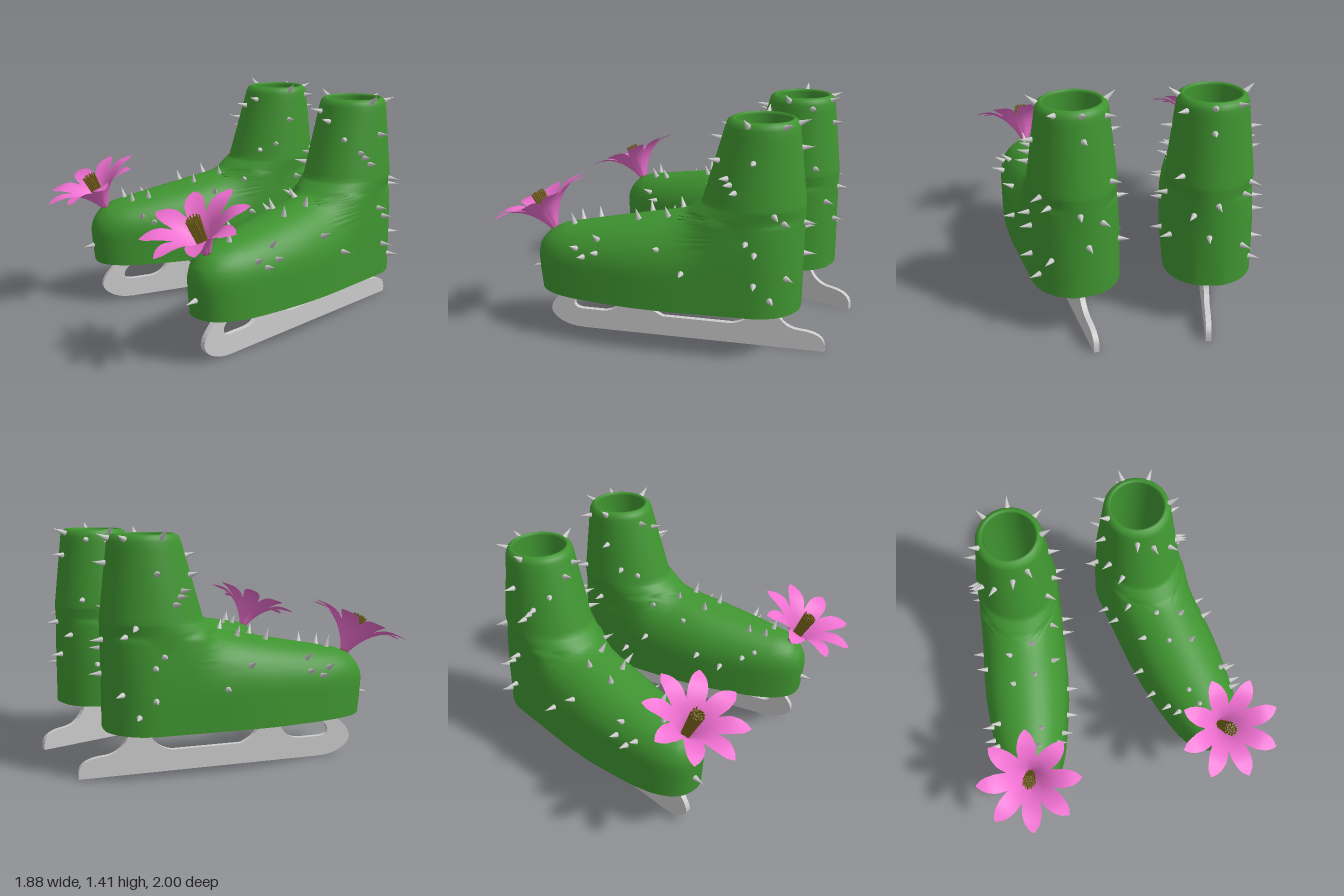
import * as THREE from 'three';
import { mergeGeometries } from 'three/addons/utils/BufferGeometryUtils.js';

const mat = (color, side = THREE.FrontSide) => new THREE.MeshStandardMaterial({ color, side });
const green = mat(0x3f9430);
const grey = mat(0xcccccc);
const pink = mat(0xee6fd0, THREE.DoubleSide);
const olive = mat(0x75601a);

function named(name, geometry, material) {
  const mesh = new THREE.Mesh(geometry, material);
  mesh.name = name;
  return mesh;
}

// Piecewise linear lookup in an ascending [key, value] table
function lookup(table, k) {
  if (k <= table[0][0]) return table[0][1];
  for (let i = 1; i < table.length; i++) {
    const [k0, v0] = table[i - 1], [k1, v1] = table[i];
    if (k <= k1) return v0 + (v1 - v0) * (k - k0) / (k1 - k0);
  }
  return table[table.length - 1][1];
}

// Boot profile: front and back edge by height, shaft half-width by height, foot half-width by z
const FRONT = [[0.28, 0.715], [0.4, 0.728], [0.5, 0.735], [0.57, 0.715], [0.635, 0.66], [0.675, 0.57],
  [0.82, -0.18], [0.9, -0.28], [1.34, -0.41], [1.365, -0.42], [1.38, -0.445]];
const BACK = [[0.28, -0.865], [0.9, -0.875], [1.34, -0.825], [1.365, -0.815], [1.38, -0.795]];
const SHAFT = [[0.28, 0.255], [0.9, 0.255], [1.34, 0.203], [1.365, 0.195], [1.38, 0.175]];
const FOOT = [[-0.6, 0.262], [-0.1, 0.275], [0.1, 0.268], [0.3, 0.243], [0.5, 0.21], [0.74, 0.18]];
const TOP = FRONT.slice(2).map(([y, z]) => [z, y]).reverse();
const ARCH = 0.47; // height where the foot starts to round over

function footWidth(z, y) {
  const toe = lookup(FRONT, Math.min(y, 0.5));
  const heel = Math.min(1, Math.max(0, (-0.6 - z) / 0.27));
  const tip = Math.min(1, Math.max(0, (z - 0.4) / (toe - 0.4)));
  return lookup(FOOT, z) * Math.sqrt(1 - heel * heel) * Math.pow(1 - Math.pow(tip, 2.4), 1 / 2.4);
}

function halfWidth(z, y) {
  const r = Math.min(1, Math.max(0, (y - ARCH) / (lookup(TOP, z) - ARCH)));
  const foot = footWidth(z, y) * Math.sqrt(1 - Math.pow(r, 2.2)) * (1 - THREE.MathUtils.smoothstep(y, 0.8, 1));
  const f = Math.min(lookup(FRONT, y), -0.2), b = lookup(BACK, y);
  const t = (z - (f + b) / 2) / ((f - b) / 2);
  return Math.max(foot, lookup(SHAFT, y) * Math.sqrt(Math.max(0, 1 - t * t)));
}

// Point of the boot skin at height y and angle u around it
function skin(y, u) {
  const f = lookup(FRONT, y), b = lookup(BACK, y);
  const z = (f + b) / 2 + (f - b) / 2 * Math.cos(u);
  const s = Math.sin(u);
  return new THREE.Vector3(Math.abs(s) < 1e-6 ? 0 : Math.sign(s) * halfWidth(z, y), y, z);
}

const SEG = 64;
const ring = fn => Array.from({ length: SEG }, (_, i) => fn(i / SEG * Math.PI * 2));
const circle = (r, y) => ring(u => new THREE.Vector3(r * Math.sin(u), y, -0.62 + r * Math.cos(u)));

function loft(rings) {
  const index = [];
  for (let j = 0; j + 1 < rings.length; j++) {
    for (let i = 0; i < SEG; i++) {
      const n = (i + 1) % SEG;
      const a = j * SEG + i, b = j * SEG + n, c = b + SEG, d = a + SEG;
      index.push(a, b, c, a, c, d);
    }
  }
  const g = new THREE.BufferGeometry().setFromPoints(rings.flat());
  g.setIndex(index);
  g.computeVertexNormals();
  return g;
}

function makeBoot() {
  const boot = new THREE.Group();
  boot.name = 'boot';
  const levels = [0.28, 0.34, 0.4, 0.44, 0.47, 0.5, 0.525, 0.55, 0.57, 0.59, 0.61, 0.635, 0.65, 0.665];
  for (let y = 0.675; y < 0.899; y += 0.0125) levels.push(y);
  levels.push(0.9, 0.93, 0.96, 1, 1.1, 1.2, 1.3, 1.34, 1.365, 1.38);
  const rings = levels.map(y => ring(u => skin(y, u)));
  // Outer skin runs over the rim and down into the opening
  const shell = [...rings, circle(0.163, 1.38), circle(0.158, 1.365), circle(0.158, 0.4)];
  boot.add(named('bootShell', loft(shell), green));
  boot.add(named('insole', loft([circle(0.158, 0.4), circle(0, 0.4)]), green));
  boot.add(named('sole', loft([ring(() => new THREE.Vector3(0, 0.28, -0.1)), rings[0]]), green));
  return boot;
}

// Spines as [z, y] on the outer and inner flank, and [x, z] on the instep
const OUTER = [[0.44, 0.59], [0.39, 0.55], [0.31, 0.65], [0.31, 0.58], [-0.06, 0.64], [-0.21, 0.52],
  [-0.57, 0.72], [-0.62, 0.66], [-0.62, 0.48], [-0.71, 0.39], [-0.72, 0.88], [-0.77, 0.83], [-0.79, 0.51],
  [-0.45, 1.07], [-0.47, 1.04], [-0.5, 1.0], [-0.39, 1.15], [-0.6, 1.17], [-0.56, 1.365], [-0.76, 1.355],
  [-0.84, 1.22], [-0.83, 1.355], [-0.87, 0.8], [-0.36, 1.25], [0.73, 0.39]];
const INNER = [[-0.6, 1.17], [-0.5, 1.01], [-0.4, 0.97], [-0.65, 0.78], [-0.3, 0.57], [-0.28, 0.78],
  [-0.45, 0.44], [0.08, 0.53], [0.24, 0.48], [0.38, 0.56], [0.45, 0.6], [-0.76, 1.32], [-0.42, 1.3],
  [-0.62, 1.365], [-0.85, 0.73], [-0.87, 0.6], [-0.8, 0.95], [-0.74, 0.55]];
const INSTEP = [[-0.064, -0.15], [0.076, -0.09], [-0.19, -0.06], [-0.068, 0.04], [0.065, 0.09],
  [-0.086, 0.37], [-0.064, 0.476], [0.03, 0.5]];

function makeSpines(s) {
  const list = [...OUTER.map(([z, y]) => [z, y, s]), ...INNER.map(([z, y]) => [z, y, -s])];
  for (const [x, z] of INSTEP) {
    const r = Math.pow(1 - (x / footWidth(z, 0.5)) ** 2, 1 / 2.2);
    list.push([z, ARCH + r * (lookup(TOP, z) - ARCH), s * Math.sign(x)]);
  }
  const up = new THREE.Vector3(0, 1, 0), one = new THREE.Vector3(1, 1, 1);
  const cones = list.map(([z, y, side]) => {
    const f = lookup(FRONT, y), b = lookup(BACK, y);
    const u = side * Math.acos(THREE.MathUtils.clamp((2 * z - f - b) / (f - b), -1, 1));
    const du = skin(y, u + 0.08).sub(skin(y, u - 0.08));
    const dy = skin(y + 0.01, u).sub(skin(y - 0.01, u));
    const q = new THREE.Quaternion().setFromUnitVectors(up, du.cross(dy).normalize());
    return new THREE.ConeGeometry(0.019, 0.08, 8).translate(0, 0.032, 0)
      .applyMatrix4(new THREE.Matrix4().compose(skin(y, u), q, one));
  });
  return named('spines', mergeGeometries(cones), grey);
}

// Blade plate with two posts and a curled front
function makeBlade() {
  const p = new THREE.Shape();
  p.moveTo(-1.013, 0);
  p.lineTo(0.47, 0);
  p.bezierCurveTo(0.6, 0, 0.68, 0.06, 0.68, 0.11);
  p.bezierCurveTo(0.68, 0.17, 0.6, 0.22, 0.54, 0.29);
  p.lineTo(0.43, 0.29);
  p.bezierCurveTo(0.47, 0.23, 0.53, 0.2, 0.53, 0.165);
  p.quadraticCurveTo(0.53, 0.125, 0.47, 0.125);
  p.lineTo(0.34, 0.125);
  p.bezierCurveTo(0.27, 0.13, 0.205, 0.18, 0.205, 0.29);
  p.lineTo(0.095, 0.29);
  p.bezierCurveTo(0.09, 0.18, 0.02, 0.15, -0.035, 0.125);
  p.lineTo(-0.46, 0.125);
  p.bezierCurveTo(-0.53, 0.14, -0.6, 0.18, -0.605, 0.29);
  p.lineTo(-0.71, 0.29);
  p.bezierCurveTo(-0.72, 0.17, -0.8, 0.125, -0.86, 0.122);
  p.quadraticCurveTo(-1.013, 0.115, -1.013, 0.03);
  const g = new THREE.ExtrudeGeometry(p, { depth: 0.032, bevelEnabled: false, curveSegments: 8 });
  return named('blade', g.translate(0, 0, -0.016).rotateY(-Math.PI / 2), grey);
}

function makeFlower() {
  const flower = new THREE.Group();
  flower.name = 'flower';
  // Petals: strips bent outward along a curve
  const path = new THREE.CatmullRomCurve3([[0.015, -0.01], [0.06, 0.08], [0.13, 0.165], [0.22, 0.215], [0.315, 0.22]]
    .map(([r, h]) => new THREE.Vector3(0, h, r)));
  const widths = [[0, 0.015], [0.3, 0.036], [0.5, 0.055], [0.7, 0.06], [0.85, 0.047], [0.95, 0.026], [1, 0.004]];
  const petal = new THREE.PlaneGeometry(2, 1, 4, 14);
  const pos = petal.attributes.position;
  for (let i = 0; i < pos.count; i++) {
    const s = pos.getX(i), t = pos.getY(i) + 0.5, c = path.getPoint(t);
    pos.setXYZ(i, s * lookup(widths, t), c.y + 0.012 * s * s * (1 - t), c.z - 0.012 * s * s * (1 - t));
  }
  petal.computeVertexNormals();
  for (let i = 0; i < 8; i++) {
    const mesh = named('petal', petal, pink);
    mesh.rotation.y = i * Math.PI / 4;
    flower.add(mesh);
  }
  // Stamens: a tight bundle of fine stalks
  const stalks = [];
  for (let i = 0; i < 48; i++) {
    const r = Math.sqrt((i + 0.5) / 48), a = i * 2.39996, len = 0.24 + 0.012 * Math.sin(i * 5);
    stalks.push(new THREE.CylinderGeometry(0.0045, 0.003, len, 5).translate(0, len / 2, 0)
      .rotateX(0.07 * r).translate(0, 0, 0.024 * r).rotateY(a));
  }
  flower.add(named('stamens', mergeGeometries(stalks), olive));
  flower.position.set(0, 0.635, 0.635);
  flower.rotation.x = 0.45;
  return flower;
}

export function createModel() {
  const model = new THREE.Group();
  model.name = 'cactusSkates';
  for (const s of [1, -1]) {
    const skate = new THREE.Group();
    skate.name = s > 0 ? 'leftSkate' : 'rightSkate';
    skate.add(makeBoot(), makeSpines(s), makeBlade(), makeFlower());
    skate.position.x = s * 0.5;
    skate.rotation.y = s * 0.175;
    model.add(skate);
  }
  return model;
}
